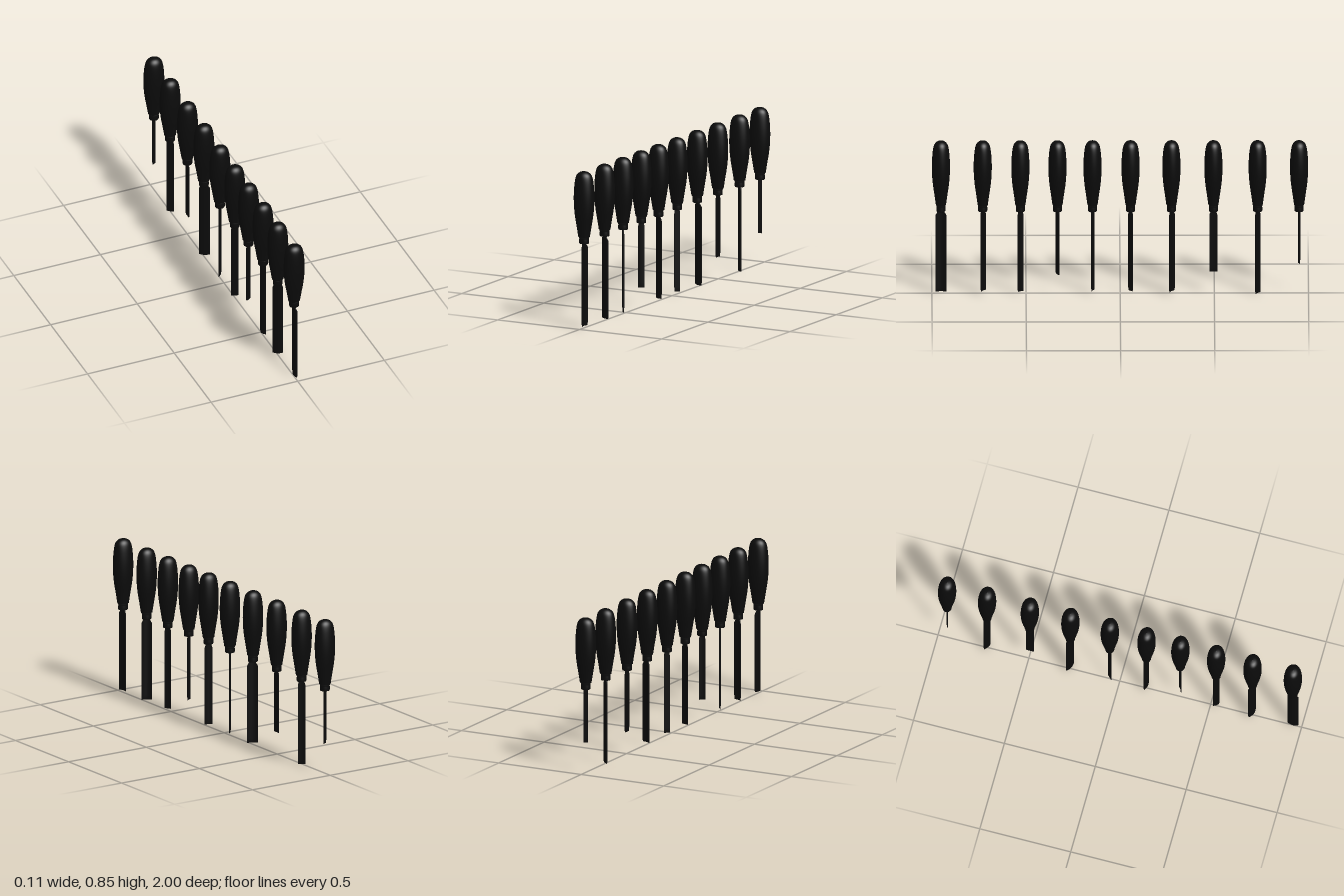
import * as THREE from 'three';

const black = new THREE.MeshStandardMaterial({ color: 0x0b0b0b });

// Each tool: position z, blade tip height, width, thickness, sweep depth, turn in degrees, x offset
const TOOLS = [
  { z: 0.952, tip: 0.01, width: 0.059, thick: 0.005, sweep: 0.008, turn: 90 },
  { z: 0.73, tip: 0.012, width: 0.055, thick: 0.005, sweep: 0.008, turn: 27 },
  { z: 0.53, tip: 0.01, width: 0.034, thick: 0.006, sweep: 0.003, turn: 55 },
  { z: 0.333, tip: 0.105, width: 0.035, thick: 0.005, sweep: 0.002, turn: -31 },
  { z: 0.147, tip: 0.013, width: 0.042, thick: 0.005, sweep: 0.004, turn: 19 },
  { z: -0.055, tip: 0.013, width: 0.031, thick: 0.005, sweep: 0, turn: -45 },
  { z: -0.272, tip: 0.01, width: 0.0585, thick: 0.005, sweep: 0.007, turn: 27, x: 0.004 },
  { z: -0.495, tip: 0.12, width: 0.043, thick: 0.005, sweep: 0.001, turn: 90 },
  { z: -0.73, tip: 0.0, width: 0.04, thick: 0.006, sweep: 0.002, turn: 38 },
  { z: -0.95, tip: 0.165, width: 0.022, thick: 0.004, sweep: 0, turn: -24 },
];

// Oval grip: a smooth lathe, narrower front to back
function makeHandle() {
  const curve = new THREE.SplineCurve([
    [0.032, 0.494], [0.041, 0.55], [0.0495, 0.6], [0.055, 0.65], [0.057, 0.7],
    [0.0555, 0.75], [0.05, 0.8], [0.041, 0.829], [0.023, 0.845], [0, 0.85],
  ].map(([r, y]) => new THREE.Vector2(r, y)));
  const profile = [new THREE.Vector2(0, 0.494), new THREE.Vector2(0.032, 0.494), ...curve.getPoints(36)];
  profile[profile.length - 1].x = 0;
  const geometry = new THREE.LatheGeometry(profile, 40);
  geometry.scale(1, 1, 0.845);
  return geometry;
}

// Collar with a fine groove where the blade enters the grip
function makeFerrule() {
  const profile = [
    [0, 0.458], [0.025, 0.458], [0.0265, 0.461], [0.0265, 0.48],
    [0.0255, 0.483], [0.0265, 0.486], [0.0275, 0.496], [0, 0.496],
  ].map(([r, y]) => new THREE.Vector2(r, y));
  const geometry = new THREE.LatheGeometry(profile, 32);
  geometry.scale(1, 1, 0.92);
  return geometry;
}

// Blade: a box bent into a shallow arc, with tapered shoulders and a ground edge
function makeBlade({ tip, width, thick, sweep }) {
  const neck = Math.min(0.024, width);
  const rows = [
    { y: 0.464, w: neck, t: thick },
    { y: 0.435, w: width, t: thick },
    { y: tip + 0.025, w: width, t: thick },
    { y: tip, w: width, t: thick * 0.3 },
  ];
  const geometry = new THREE.BoxGeometry(1, 1, 1, 12, rows.length - 1, 1);
  const p = geometry.attributes.position;
  for (let i = 0; i < p.count; i++) {
    const row = rows[Math.round((0.5 - p.getY(i)) * (rows.length - 1))];
    const x = p.getX(i) * row.w;
    const u = (2 * x) / width;
    p.setXYZ(i, x, row.y, p.getZ(i) * row.t + sweep * (0.5 - u * u));
  }
  geometry.computeVertexNormals();
  return geometry;
}

export function createModel() {
  const model = new THREE.Group();
  model.name = 'chiselSet';
  const handle = makeHandle();
  const ferrule = makeFerrule();

  for (const spec of TOOLS) {
    const chisel = new THREE.Group();
    chisel.name = 'chisel';
    const add = (name, geometry) => {
      const mesh = new THREE.Mesh(geometry, black);
      mesh.name = name;
      chisel.add(mesh);
      return mesh;
    };
    add('handle', handle);
    add('ferrule', ferrule);
    const blade = add('blade', makeBlade(spec));
    blade.rotation.y = -THREE.MathUtils.degToRad(spec.turn);
    blade.position.x = spec.x ?? 0;
    chisel.position.z = spec.z;
    model.add(chisel);
  }
  return model;
}
